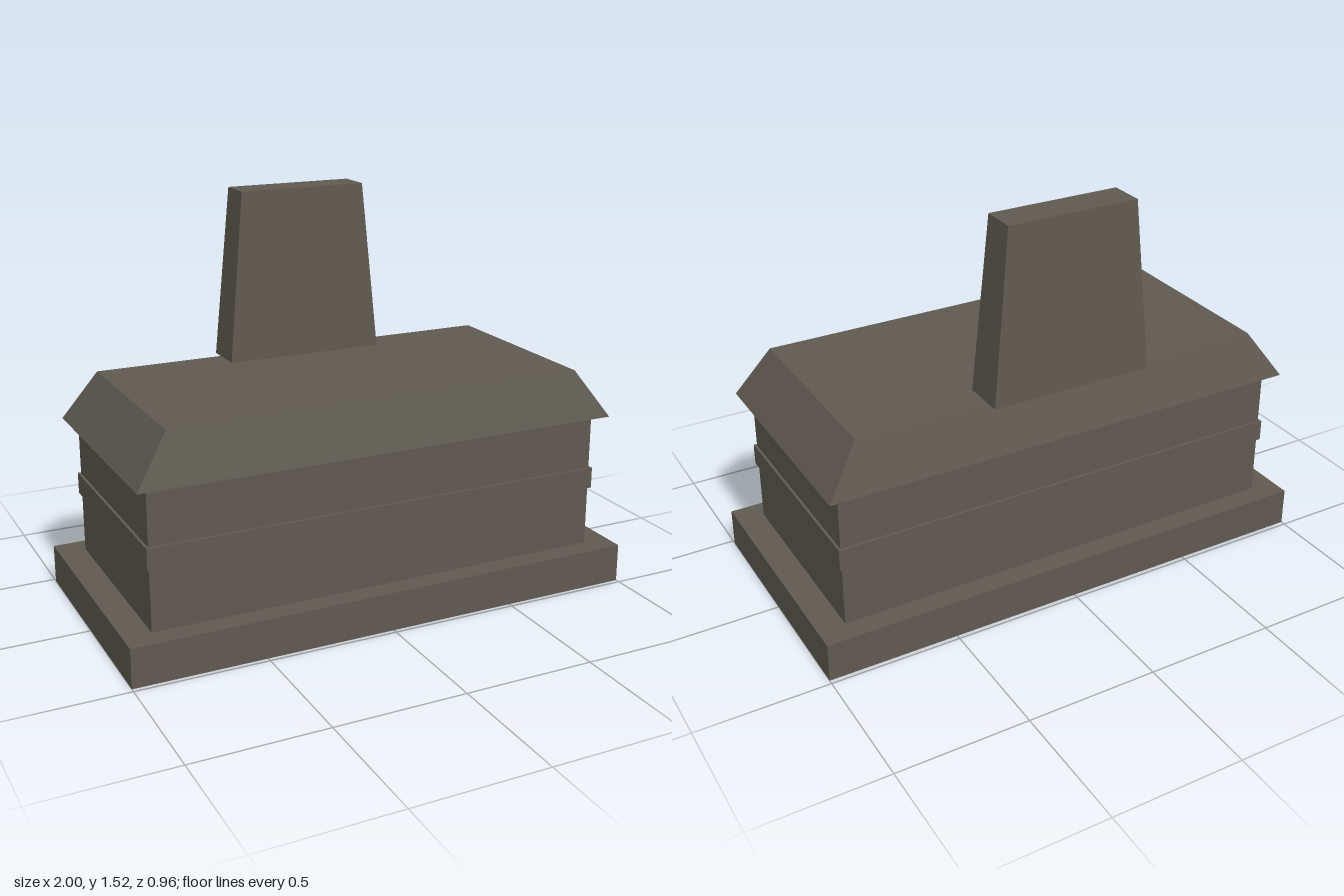
import * as THREE from 'three';

const stone = new THREE.MeshStandardMaterial({ color: 0x5f5b52 });
stone.name = 'weathered stone';

// Box from y0 to y1 whose top may be narrower than its base
function taperedBlock(name, y0, y1, [w, d], [topW, topD] = [w, d], z = 0) {
  const indexed = new THREE.BoxGeometry(1, 1, 1);
  const geometry = indexed.toNonIndexed();
  const p = geometry.attributes.position;
  for (let i = 0; i < p.count; i++) {
    const top = p.getY(i) > 0;
    p.setXYZ(i, p.getX(i) * (top ? topW : w), top ? y1 : y0, p.getZ(i) * (top ? topD : d));
  }
  geometry.computeVertexNormals();
  const mesh = new THREE.Mesh(geometry, stone);
  mesh.name = name;
  mesh.position.z = z;
  return mesh;
}

export function createModel() {
  const group = new THREE.Group();
  group.name = 'stoneTomb';
  group.add(
    taperedBlock('baseSlab', 0, 0.15, [2, 0.965]),
    taperedBlock('chest', 0.15, 0.68, [1.792, 0.8]),
    taperedBlock('band', 0.383, 0.465, [1.812, 0.82]),
    taperedBlock('lid', 0.68, 0.865, [1.886, 0.9], [1.63, 0.778]),
    // Headstone overhangs the back edge of the lid
    taperedBlock('headstone', 0.865, 1.52, [0.63, 0.166], [0.506, 0.134], -0.357)
  );
  return group;
}
